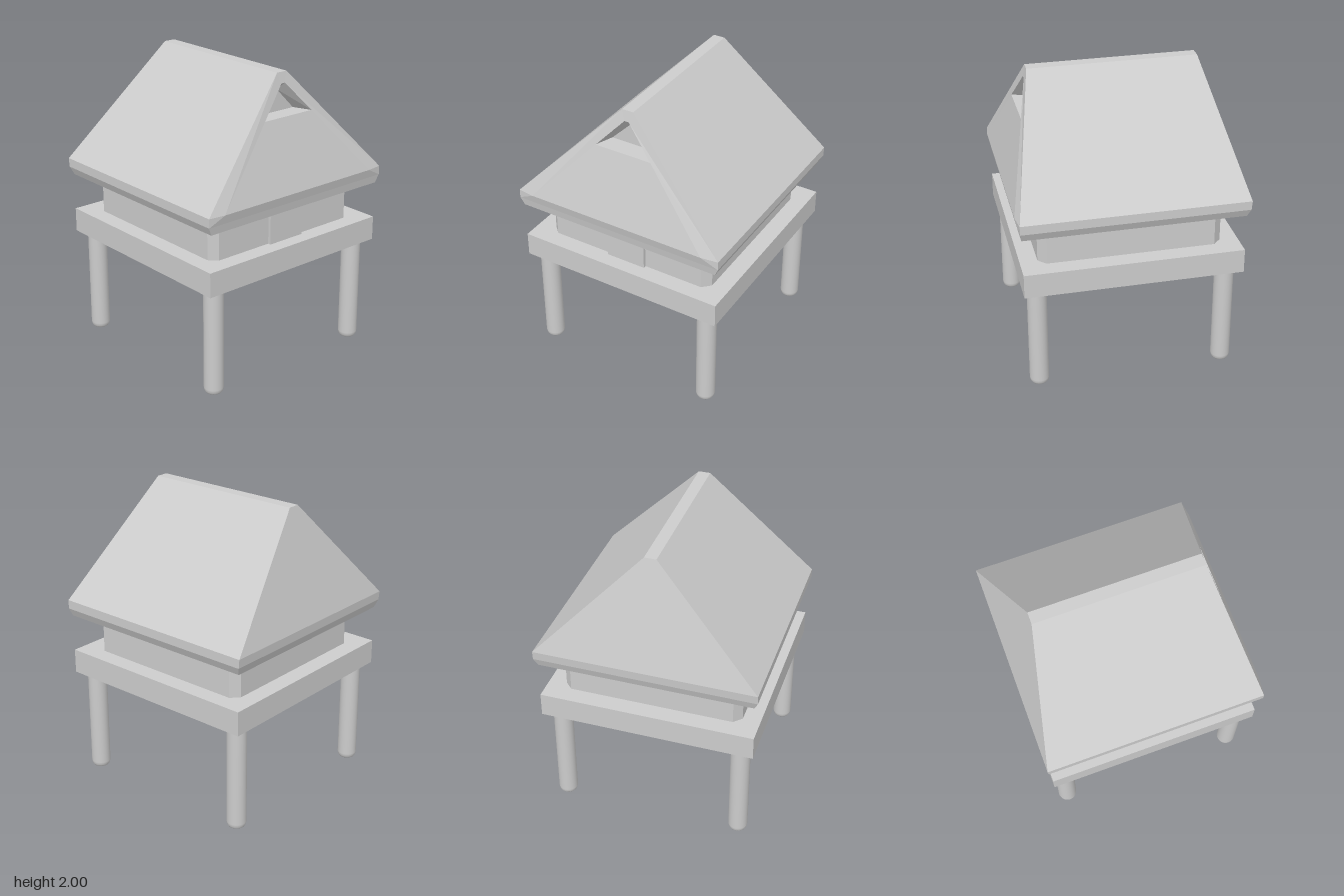
import * as THREE from 'three';

const grey = new THREE.MeshStandardMaterial({ color: 0xcccccc });
grey.name = 'plain grey';

function add(parent, name, geometry, x = 0, y = 0, z = 0) {
  const mesh = new THREE.Mesh(geometry, grey);
  mesh.name = name;
  mesh.position.set(x, y, z);
  parent.add(mesh);
  return mesh;
}

// Flat-sided solid from convex polygons, each fanned from its first corner
function solid(polygons) {
  const positions = [];
  for (const p of polygons)
    for (let i = 1; i < p.length - 1; i++) positions.push(...p[0], ...p[i], ...p[i + 1]);
  const g = new THREE.BufferGeometry();
  g.setAttribute('position', new THREE.Float32BufferAttribute(positions, 3));
  g.computeVertexNormals();
  return g;
}

function roofGeometry() {
  const m = ([x, y, z]) => [-x, y, z];
  // Eave corners from bottom to top, front (a) and back (b)
  const a0 = [0.72, 1.145, 0.725], a1 = [0.745, 1.2, 0.735], a2 = [0.745, 1.26, 0.735];
  const b0 = [0.72, 1.145, -0.73], b1 = [0.745, 1.2, -0.75], b2 = [0.745, 1.26, -0.755];
  // Ridge ends
  const r = [0.04, 2, 0.555], s = [0.04, 2, -0.57];
  // Gable panel and the vent opening above it
  const p = [0.63, 1.26, 0.75], q = [0.2, 1.73, 0.624], t = [0.015, 1.93, 0.57];
  // Back of the vent recess
  const u = [0.155, 1.73, 0.5], v = [0.01, 1.875, 0.5];

  const half = [
    [a0, b0, b1, a1], [a1, b1, b2, a2], // side eave
    [a2, b2, s, r],                     // roof slope
    [a2, r, t, q, p],                   // bevelled rake
    [a1, a2, p],                        // eave corner
    [q, t, v, u],                       // vent side wall
  ];
  const mirrored = half.map(f => f.map(m).reverse());
  const centre = [
    [m(a0), a0, a1, m(a1)], [m(a1), a1, p, m(p)], // front eave
    [m(p), p, q, m(q)],                           // gable panel
    [m(t), t, r, m(r)],                           // rake peak
    [m(r), r, s, m(s)],                           // ridge
    [b2, m(b2), m(s), s],                         // back slope
    [b1, m(b1), m(b2), b2], [b0, m(b0), m(b1), b1], // back eave
    [m(a0), m(b0), b0, a0],                       // underside
    [m(q), q, u, m(u)],                           // vent floor
    [m(u), u, v, m(v)],                           // vent back
    [m(t), m(v), v, t],                           // vent top
  ];
  return solid([...half, ...mirrored, ...centre]);
}

export function createModel() {
  const model = new THREE.Group();
  model.name = 'stiltHouse';

  // Round posts with softened feet
  const profile = [[0, 0], [0.042, 0], [0.053, 0.007], [0.061, 0.019], [0.065, 0.04], [0.065, 0.74]]
    .map(([x, y]) => new THREE.Vector2(x, y));
  const post = new THREE.LatheGeometry(profile, 24);
  for (const x of [-0.62, 0.615])
    for (const z of [-0.63, 0.625]) add(model, 'post', post, x, 0, z);

  // Platform
  add(model, 'platform', new THREE.BoxGeometry(1.45, 0.165, 1.45), 0, 0.8125, -0.005);

  // Walls with chamfered corners
  const w = 0.607, c = 0.555;
  const plan = new THREE.Shape([[w, -c], [w, c], [c, w], [-c, w], [-w, c], [-w, -c], [-c, -w], [c, -w]]
    .map(([x, y]) => new THREE.Vector2(x, y)));
  const walls = new THREE.ExtrudeGeometry(plan, { depth: 0.26, bevelEnabled: false });
  walls.rotateX(-Math.PI / 2);
  add(model, 'walls', walls, 0, 0.89, -0.003);

  // Door panel standing slightly proud of the front wall
  add(model, 'door', new THREE.BoxGeometry(0.28, 0.255, 0.04), 0, 1.02, 0.605);

  // Steep roof with a recessed gable vent
  add(model, 'roof', roofGeometry());

  return model;
}
